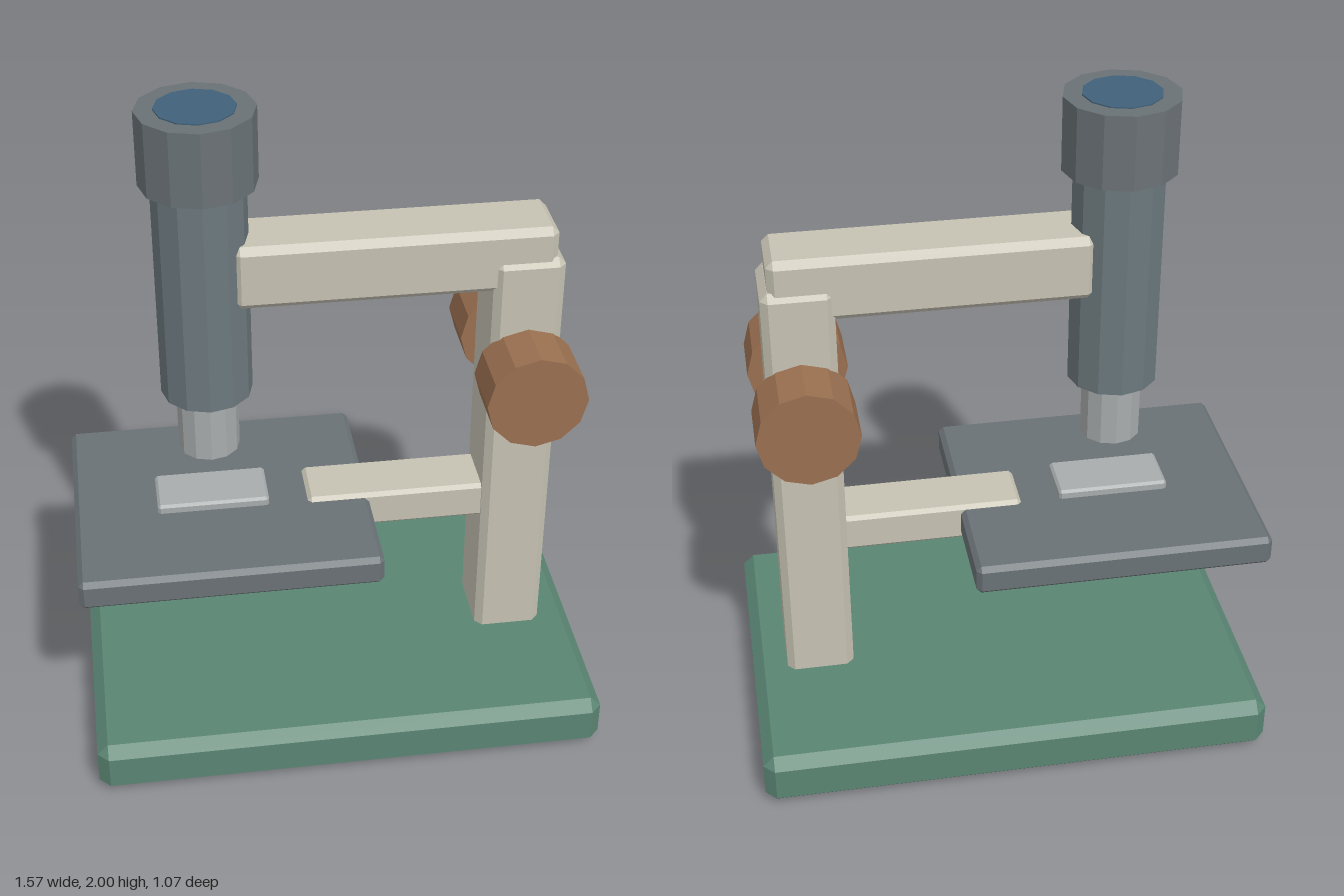
import * as THREE from 'three';
import { ConvexGeometry } from 'three/addons/geometries/ConvexGeometry.js';

const paint = (color) => new THREE.MeshStandardMaterial({ color, flatShading: true });
const GREEN = paint(0x5a8573), CREAM = paint(0xc6c2b3), SLATE = paint(0x6a7276);
const STEEL = paint(0x6c797e), SILVER = paint(0xa8acac), COPPER = paint(0x9a7050), GLASS = paint(0x41627a);

// Box between two corners with every edge cut at 45 degrees by b
function chamferBox(min, max, b) {
  const half = max.map((v, i) => (v - min[i]) / 2);
  const points = [];
  for (const sx of [-1, 1]) for (const sy of [-1, 1]) for (const sz of [-1, 1]) {
    const sign = [sx, sy, sz];
    for (let full = 0; full < 3; full++) {
      points.push(new THREE.Vector3(...half.map((h, i) => sign[i] * (i === full ? h : h - b))));
    }
  }
  return new ConvexGeometry(points).translate(...max.map((v, i) => (v + min[i]) / 2));
}

export function createModel() {
  const model = new THREE.Group();
  model.name = 'microscope';

  const add = (name, geometry, material) => {
    const mesh = new THREE.Mesh(geometry, material);
    mesh.name = name;
    model.add(mesh);
  };
  // Box symmetric about z = 0
  const block = (name, x0, x1, y0, y1, halfZ, bevel, material) =>
    add(name, chamferBox([x0, y0, -halfZ], [x1, y1, halfZ], bevel), material);
  // Twelve-sided upright drum on the optical axis
  const axisX = -0.364;
  const drum = (name, radius, y0, y1, material) =>
    add(name, new THREE.CylinderGeometry(radius, radius, y1 - y0, 12).translate(axisX, (y0 + y1) / 2, 0), material);

  // Stand
  block('base', -0.773, 0.782, 0, 0.17, 0.536, 0.033, GREEN);
  block('column', 0.466, 0.675, 0.1, 1.51, 0.118, 0.022, CREAM);
  block('arm', -0.283, 0.652, 1.407, 1.605, 0.105, 0.021, CREAM);

  // Stage with its bracket and specimen slide
  block('stageBracket', -0.075, 0.52, 0.595, 0.715, 0.09, 0.012, CREAM);
  block('stage', -0.786, 0.114, 0.608, 0.703, 0.395, 0.015, SLATE);
  block('slide', -0.534, -0.194, 0.69, 0.73, 0.084, 0.008, SILVER);

  // Optics
  drum('objective', 0.092, 0.895, 1.15, SILVER);
  drum('tube', 0.136, 1.095, 1.8, STEEL);
  drum('eyepiece', 0.169, 1.775, 1.996, SLATE);
  drum('eyepieceLens', 0.115, 1.95, 2, GLASS);

  // Focus knobs on both sides of the column
  for (const [name, side] of [['frontKnob', 1], ['backKnob', -1]]) {
    const knob = new THREE.CylinderGeometry(0.15, 0.15, 0.185, 12).rotateX(Math.PI / 2);
    add(name, knob.translate(0.572, 1.137, side * 0.1925), COPPER);
  }
  return model;
}
